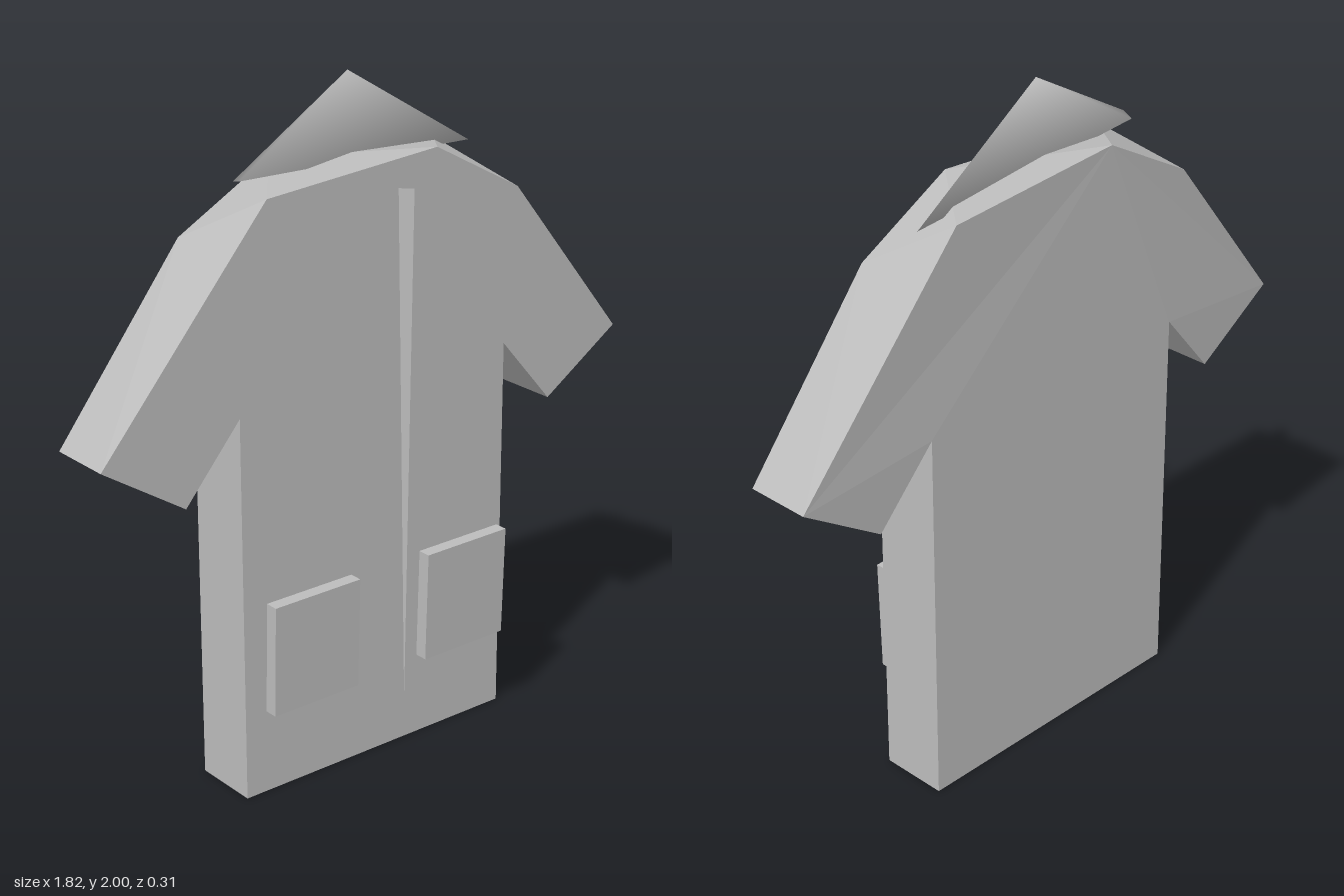
import * as THREE from 'three';

const fabric = new THREE.MeshStandardMaterial({ color: 0xbcbcbc });
const sheet = new THREE.MeshStandardMaterial({ color: 0xbcbcbc, side: THREE.DoubleSide });

function fromTriangles(points, index, flat = true) {
  let g = new THREE.BufferGeometry();
  g.setAttribute('position', new THREE.Float32BufferAttribute(points.flat(), 3));
  g.setIndex(index);
  if (flat) g = g.toNonIndexed();
  g.computeVertexNormals();
  return g;
}

// Shirt outlines, counter-clockwise from the front; the back shoulder line mirrors the front one
const hem = [[-0.91, 1.11], [-0.65, 0.94], [-0.47, 1.15], [-0.47, 0], [0.47, 0], [0.47, 1.15], [0.65, 0.94], [0.91, 1.11]];
const shoulder = [[0.51, 1.61], [0.21, 1.775], [-0.37, 1.735]];
const frontLine = [...hem, ...shoulder];
const backLine = [...hem, ...shoulder.map(([x, y]) => [-x, y]).reverse()];

function bodyGeometry() {
  const n = frontLine.length;
  const backZ = (x) => (Math.abs(x) > 0.6 ? -0.14 : -0.15);
  const points = [
    ...frontLine.map(([x, y]) => [x, y, 0.055]),
    ...backLine.map(([x, y]) => [x, y, backZ(x)]),
  ];
  const index = [];
  const cap = (line) => THREE.ShapeUtils.triangulateShape(line.map((p) => new THREE.Vector2(...p)), []);
  for (const [a, b, c] of cap(frontLine)) index.push(a, b, c);
  for (const [a, b, c] of cap(backLine)) index.push(n + c, n + b, n + a);
  for (let i = 0; i < n; i++) {
    const j = (i + 1) % n;
    // Quads on the shoulders fold from the front's next corner to the back's current one
    if (i >= 7) index.push(i, n + i, j, j, n + i, n + j);
    else index.push(i, n + i, n + j, i, n + j, j);
  }
  return fromTriangles(points, index);
}

// Slanted patch pocket, leaning forward at the top
function pocketGeometry() {
  const g = new THREE.BoxGeometry(0.295, 0.335, 0.04);
  const p = g.attributes.position;
  for (let i = 0; i < p.count; i++) p.setZ(i, p.getZ(i) + p.getY(i) * 0.03);
  g.computeVertexNormals();
  return g;
}

export function createModel() {
  const model = new THREE.Group();
  model.name = 'shirt';
  const add = (name, geometry, material = fabric) => {
    const mesh = new THREE.Mesh(geometry, material);
    mesh.name = name;
    model.add(mesh);
    return mesh;
  };

  add('body', bodyGeometry());

  // Thin pointed collar
  const collar = [[-0.41, 1.775, -0.01], [-0.4, 1.765, -0.05], [0.45, 1.725, -0.09], [-0.01, 2, -0.06]];
  add('collar', fromTriangles(collar, [0, 2, 3, 2, 1, 3, 1, 0, 3, 0, 1, 2], false), sheet);

  // Tapering front closure
  add('frontPlacket', fromTriangles([[0.015, 1.71, 0.125], [0.033, 0.18, 0.14], [0.045, 1.71, 0.155]], [0, 1, 2]), sheet);

  for (const [name, x] of [['rightPocket', -0.275], ['leftPocket', 0.27]]) {
    add(name, pocketGeometry()).position.set(x, 0.443, 0.113);
  }
  return model;
}
